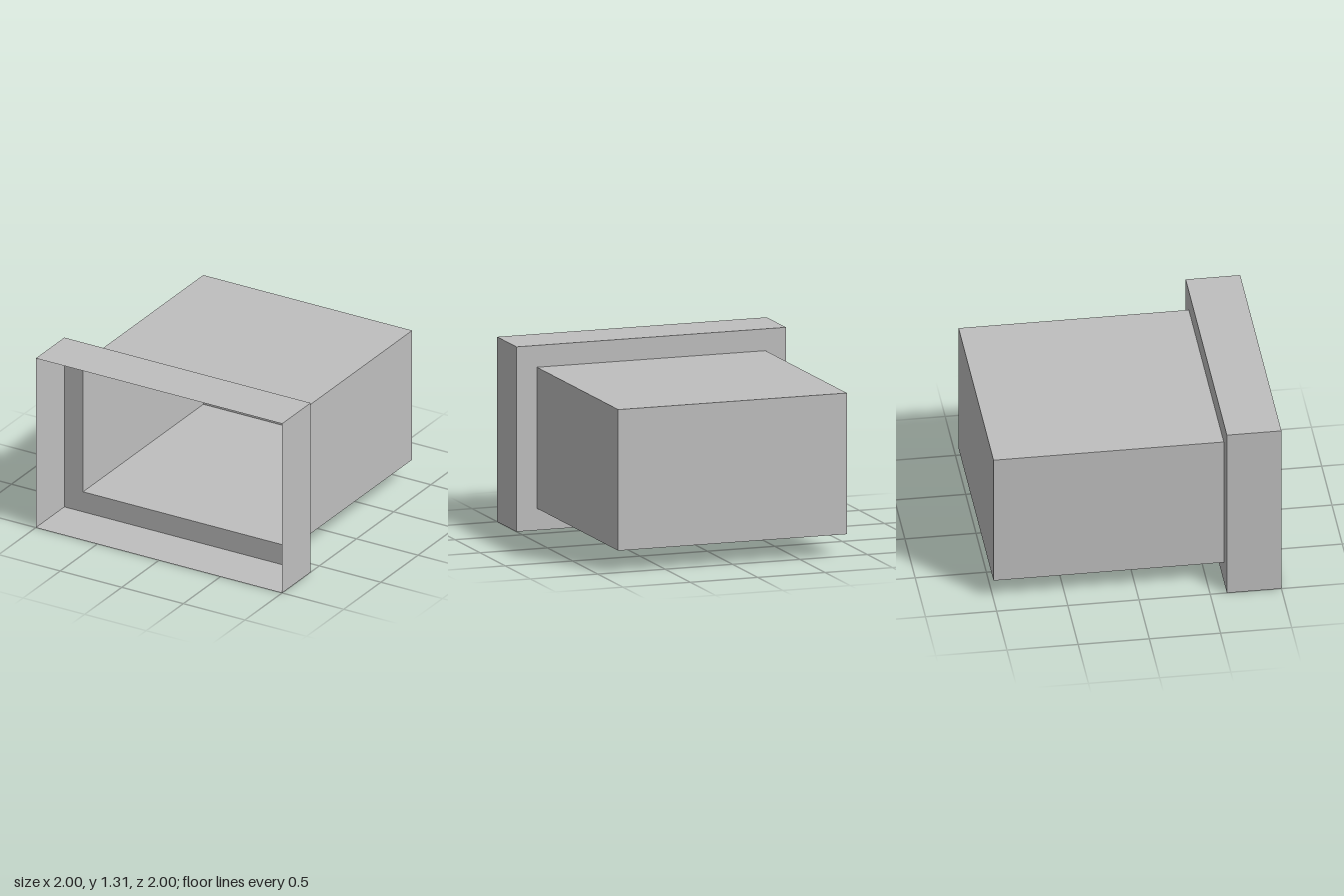
import * as THREE from 'three';

const CENTRE_Y = 0.655;

// Rectangular cross-section, counter-clockwise seen from the front
const rectLoop = (halfW, halfH, z) =>
  [[-1, -1], [1, -1], [1, 1], [-1, 1]].map(([sx, sy]) => [sx * halfW, CENTRE_Y + sy * halfH, z]);

// Flat-faced surface from a list of four-cornered faces
function quadSurface(quads) {
  const points = quads.flatMap(([a, b, c, d]) => [a, b, c, a, c, d]).flat();
  const geometry = new THREE.BufferGeometry();
  geometry.setAttribute('position', new THREE.Float32BufferAttribute(points, 3));
  geometry.computeVertexNormals();
  return geometry;
}

// Four walls joining two cross-sections
const bridge = (a, b) => quadSurface(a.map((p, i) => {
  const j = (i + 1) % 4;
  return [p, b[i], b[j], a[j]];
}));

export function createModel() {
  const model = new THREE.Group();
  model.name = 'flangedDuct';
  const grey = new THREE.MeshStandardMaterial({ color: 0xbfbfbf, side: THREE.DoubleSide });
  grey.name = 'light grey';

  const add = (name, geometry) => {
    const mesh = new THREE.Mesh(geometry, grey);
    mesh.name = name;
    model.add(mesh);
  };

  const rim = rectLoop(1, 0.655, 1);
  const collarBack = rectLoop(1, 0.655, 0.617);
  const bodyFront = rectLoop(0.848, 0.5, 0.617);
  const bodyBack = rectLoop(0.848, 0.5, -1);

  // Thin shell, open at the front
  add('collar', bridge(rim, collarBack));
  add('shoulder', bridge(collarBack, bodyFront));
  add('bodyWalls', bridge(bodyFront, bodyBack));
  add('backPanel', quadSurface([[...bodyBack].reverse()]));

  return model;
}
